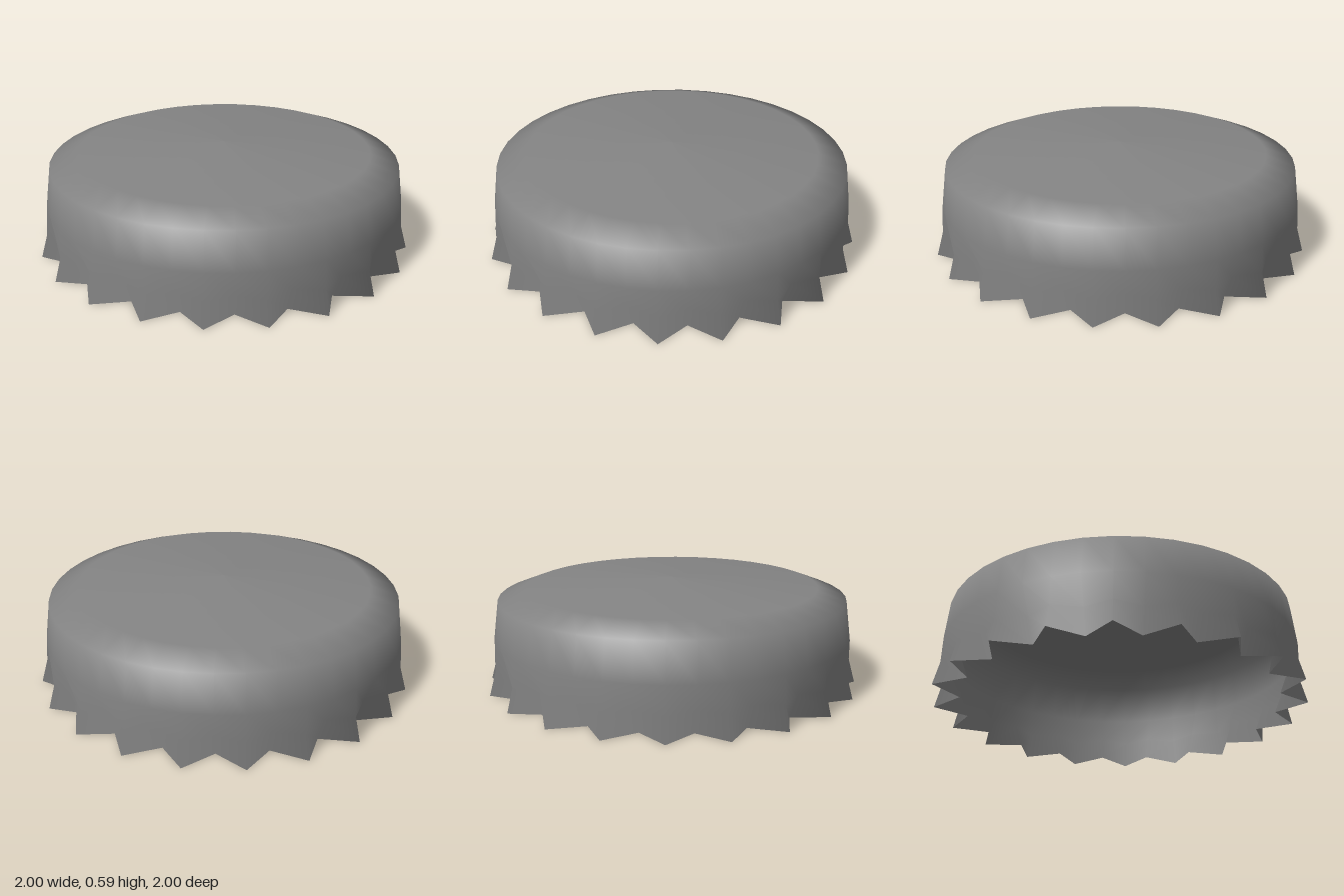
import * as THREE from 'three';

const TEETH = 20;

export function createModel() {
  const group = new THREE.Group();
  group.name = 'crimpedCap';

  // Profile from the skirt's lower edge up to the slightly domed centre
  const profile = [[0.97, 0], [0.97, 0.13], [0.97, 0.28], [0.945, 0.487], [0.79, 0.547], [0, 0.59]]
    .map(([r, y]) => new THREE.Vector2(r, y));
  const shell = new THREE.LatheGeometry(profile, TEETH * 2);

  // Crimp the two lowest rings: odd columns flare out, even columns pinch in.
  // The round normals are kept, so the shading stays smooth across the teeth.
  const crimp = [{ peak: 1.0125, valley: 0.86 }, { peak: 0.978, valley: 0.91 }];
  const pos = shell.attributes.position;
  for (let i = 0; i <= TEETH * 2; i++) {
    const angle = (i / TEETH) * Math.PI;
    crimp.forEach(({ peak, valley }, ring) => {
      const r = i % 2 ? peak : valley;
      pos.setXYZ(i * profile.length + ring, r * Math.sin(angle), profile[ring].y, r * Math.cos(angle));
    });
  }

  const cap = new THREE.Mesh(shell, new THREE.MeshStandardMaterial({ color: 0x848484, side: THREE.DoubleSide }));
  cap.name = 'capShell';
  group.add(cap);
  return group;
}
